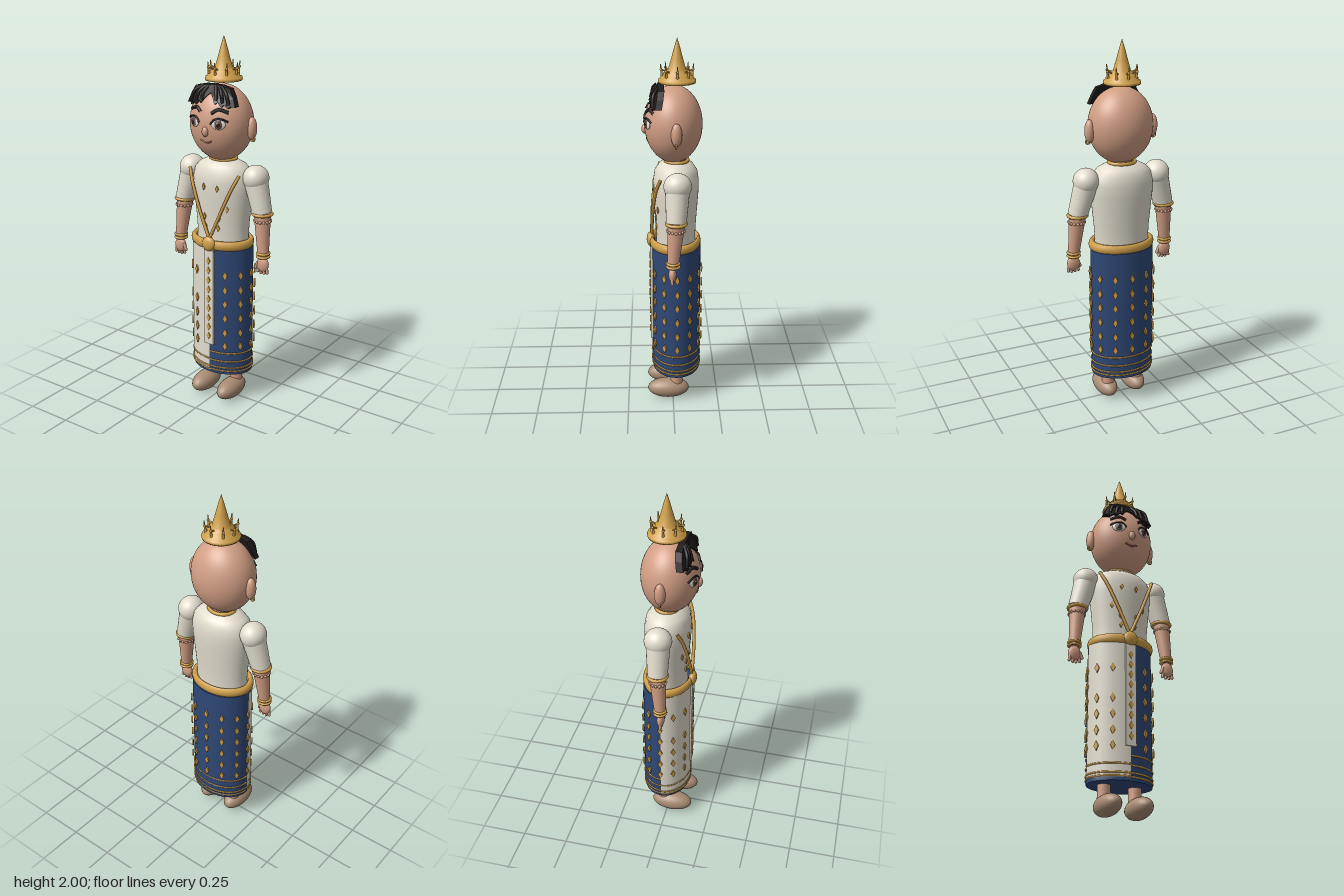
import * as THREE from 'three';

const mat = (name, color) => Object.assign(new THREE.MeshStandardMaterial({ color }), { name });
const V = (x, y, z) => new THREE.Vector3(x, y, z);

export function createModel() {
  const skin = mat('skin', 0xd19e84), ivory = mat('ivory cloth', 0xe2dccd), blue = mat('blue cloth', 0x2f4876);
  const gold = mat('gold', 0xd0a04a), hair = mat('black hair', 0x221c1c), shoe = mat('tan slipper', 0xa98c74);
  const white = mat('eye white', 0xeeeae4), brown = mat('iris brown', 0x6b4a3c), lip = mat('lip', 0xa05f50);
  const panel = mat('ivory panel', 0xe2dccd);
  panel.side = THREE.DoubleSide;

  const root = new THREE.Group();
  root.name = 'dancer';
  const group = (name, parent = root) => {
    const g = new THREE.Group();
    g.name = name;
    parent.add(g);
    return g;
  };
  const add = (parent, name, geo, m, x = 0, y = 0, z = 0) => {
    const mesh = new THREE.Mesh(geo, m);
    mesh.name = name;
    mesh.position.set(x, y, z);
    parent.add(mesh);
    return mesh;
  };
  const ball = (rx, ry, rz, n = 32) => new THREE.SphereGeometry(1, n, n * 0.6 | 0).scale(rx, ry, rz);
  const tube = (pts, r, n = 24) => new THREE.TubeGeometry(new THREE.CatmullRomCurve3(pts), n, r, 8);
  const diamond = (w, h) => new THREE.CylinderGeometry(1, 1, 0.008, 4).rotateX(Math.PI / 2).scale(w / 2, h / 2, 1);
  const ring = (r, t, flat = 1) => new THREE.TorusGeometry(r, t, 10, 40).rotateX(Math.PI / 2).scale(1, flat, 1);
  // Tapered limb running from a (radius ra) to b (radius rb)
  const limb = (parent, name, a, b, ra, rb, m) => {
    const d = b.clone().sub(a);
    const mesh = add(parent, name, new THREE.CylinderGeometry(rb, ra, d.length(), 24), m);
    mesh.position.copy(a).addScaledVector(d, 0.5);
    mesh.quaternion.setFromUnitVectors(V(0, 1, 0), d.normalize());
    return mesh;
  };

  // Head: an ellipsoid, with a rule for points on its front
  const HX = 0.174, HY = 0.2, HZ = 0.15, CY = 1.56, CZ = -0.004;
  const faceZ = (x, y) => CZ + HZ * Math.sqrt(Math.max(0, 1 - (x / HX) ** 2 - ((y - CY) / HY) ** 2));
  const onFace = (x, y, lift = 0) => V(x, y, faceZ(x, y) + lift);
  const head = group('head');
  add(head, 'skull', ball(HX, HY, HZ, 48), skin, 0, CY, CZ);
  add(head, 'nose', ball(0.018, 0.026, 0.018), skin, 0, 1.535, 0.143);
  add(head, 'mouth', tube([onFace(-0.035, 1.487), onFace(0, 1.476), onFace(0.035, 1.487)], 0.0045), lip);

  for (const s of [-1, 1]) {
    add(head, 'ear', ball(0.026, 0.06, 0.028), skin, s * 0.178, 1.545, -0.015);
    add(head, 'earring', new THREE.TorusGeometry(0.012, 0.005, 8, 20), gold, s * 0.185, 1.492, -0.012);

    // Eye, turned to follow the face
    const eye = group('eye', head);
    eye.position.copy(onFace(s * 0.073, 1.578));
    eye.rotation.y = s * 0.39;
    add(eye, 'eyeball', ball(0.036, 0.027, 0.009), white);
    add(eye, 'iris', ball(0.02, 0.023, 0.006), brown, 0, 0, 0.006);
    add(eye, 'pupil', ball(0.011, 0.013, 0.004), hair, 0, 0, 0.01);
    add(eye, 'glint', ball(0.005, 0.005, 0.002, 12), white, -0.006, 0.008, 0.0135);
    add(head, 'lash', tube([onFace(s * 0.034, 1.578, 0.005), onFace(s * 0.055, 1.602, 0.007),
      onFace(s * 0.085, 1.606, 0.007), onFace(s * 0.118, 1.592, 0.006)], 0.005), hair);
    add(head, 'eyebrow', tube([onFace(s * 0.032, 1.63, 0.002), onFace(s * 0.065, 1.65, 0.003),
      onFace(s * 0.112, 1.636, 0.002)], 0.0085), hair);

    // Swept fringe: jagged slab wrapped round the forehead
    const outline = [[0, 1.765], [0.05, 1.764], [0.105, 1.752], [0.128, 1.71], [0.146, 1.664], [0.122, 1.668], [0.112, 1.657],
      [0.09, 1.674], [0.078, 1.662], [0.055, 1.685], [0.043, 1.674], [0.022, 1.705], [0, 1.725]];
    const fringe = new THREE.ExtrudeGeometry(new THREE.Shape(outline.map(([x, y]) => new THREE.Vector2(s * x, y))),
      { depth: 1, bevelEnabled: false });
    const p = fringe.attributes.position;
    for (let i = 0; i < p.count; i++) {
      const x = p.getX(i), y = p.getY(i);
      const back = 0.045 + (1.765 - y) * 0.35 - Math.max(0, Math.abs(x) - 0.09) * 0.4;
      p.setZ(i, p.getZ(i) < 0.5 ? back : Math.max(back + 0.034, faceZ(x, y) + 0.012));
    }
    fringe.computeVertexNormals();
    add(head, 'fringe', fringe, hair);
    // Locks lying over the fringe
    for (const [x, y] of [[0.045, 1.69], [0.08, 1.68], [0.115, 1.675]]) {
      add(head, 'lock', tube([V(s * x * 0.5, 1.757, 0.077), V(s * x * 0.85, 1.727, 0.1),
        V(s * x, y, Math.max(faceZ(x, y), 0.095) + 0.009)], 0.009, 10), hair);
    }
  }

  // Crown: stepped base, spire and eight prongs
  const crown = group('crown');
  crown.position.z = -0.022;
  const profile = [[0, 1.775], [0.095, 1.775], [0.097, 1.783], [0.094, 1.792], [0.083, 1.797], [0.083, 1.807],
    [0.07, 1.811], [0.07, 1.822], [0.058, 1.826], [0.058, 1.836], [0.046, 1.84], [0.03, 1.895], [0.014, 1.955], [0, 2]];
  add(crown, 'spire', new THREE.LatheGeometry(profile.map(q => new THREE.Vector2(...q)), 40), gold);
  for (let i = 0; i < 8; i++) {
    const prong = group('prong', crown);
    prong.rotation.y = i * Math.PI / 4;
    limb(prong, 'spike', V(0, 1.805, 0.076), V(0, 1.868, 0.083), 0.007, 0.002, gold);
    limb(prong, 'strut', V(0, 1.828, 0.045), V(0, 1.84, 0.08), 0.004, 0.004, gold);
    add(prong, 'bead', ball(0.007, 0.007, 0.007, 12), gold, 0, 1.84, 0.081);
  }

  // Torso
  const torso = group('torso');
  const body = [[0.06, 1.37], [0.095, 1.36], [0.135, 1.34], [0.162, 1.31], [0.174, 1.26], [0.172, 1.2], [0.164, 1.12],
    [0.154, 1.02], [0.15, 0.95], [0.152, 0.9]].reverse();
  add(torso, 'bodice', new THREE.LatheGeometry(body.map(q => new THREE.Vector2(...q)), 48).scale(1, 1, 0.69), ivory, 0, 0, -0.017);
  limb(torso, 'neck', V(0, 1.33, -0.02), V(0, 1.4, -0.01), 0.055, 0.055, skin);
  add(torso, 'collar', ring(0.07, 0.01).scale(1, 1, 0.85), gold, 0, 1.368, -0.02);
  add(torso, 'belt', ring(0.164, 0.018, 1.45).scale(1, 1, 0.76), gold, 0, 0.92, -0.012);
  add(torso, 'buckle', ball(0.04, 0.04, 0.022), gold, 0, 0.925, 0.118);
  for (const s of [-1, 1]) {
    add(torso, 'sash', tube([V(s * 0.156, 1.31, 0.064), V(s * 0.125, 1.24, 0.088), V(s * 0.07, 1.11, 0.106), V(0, 0.95, 0.113)], 0.009), gold);
    for (const [x, y] of [[0.042, 1.23], [0.09, 1.12], [0.045, 1.065], [0.04, 1.01]]) {
      const r = 0.154 + (y - 1.02) * 0.09;
      add(torso, 'bodiceDiamond', diamond(0.02, 0.036), gold, s * x, y, -0.014 + 0.69 * Math.sqrt(r * r - x * x))
        .rotation.y = s * x * 4;
    }
  }

  // Skirt: elliptical blue tube, ivory front quarter, gold hem lines
  const SZ = 0.75, skirt = group('skirt');
  skirt.position.z = -0.02;
  add(skirt, 'blueSkirt', new THREE.CylinderGeometry(0.174, 0.174, 0.735, 64).scale(1, 1, SZ), blue, 0, 0.5325);
  add(skirt, 'ivoryFront', new THREE.CylinderGeometry(0.18, 0.18, 0.72, 24, 1, true, -Math.PI / 2, Math.PI / 2).scale(1, 1, SZ),
    panel, 0, 0.54);
  add(skirt, 'pleat', new THREE.BoxGeometry(0.058, 0.55, 0.016), ivory, 0, 0.615, 0.134);
  const hem = (y, r, start, arc) => add(skirt, 'hemLine',
    new THREE.TorusGeometry(r, 0.005, 6, 48, arc).rotateZ(start).rotateX(Math.PI / 2).scale(1, 1, SZ), gold, 0, y);
  for (const y of [0.293, 0.243, 0.205, 0.185]) hem(y, 0.175, Math.PI, Math.PI * 1.5);
  for (const y of [0.25, 0.205, 0.187]) hem(y, 0.18, Math.PI / 2, Math.PI / 2);
  for (let i = 1; i < 12; i++) {
    const a = i * Math.PI / 6, r = 0.183;
    for (const y of [0.755, 0.67, 0.59, 0.505, 0.42, 0.34]) {
      if (i > 9 && y === 0.67) continue;
      add(skirt, 'skirtDiamond', diamond(0.026, 0.052), gold, r * Math.sin(a), y, SZ * r * Math.cos(a))
        .rotation.y = Math.atan2(Math.sin(a) * SZ, Math.cos(a));
    }
  }
  for (let i = 0; i < 9; i++) add(skirt, 'pleatDiamond', diamond(0.026, 0.042), gold, 0, 0.39 + i * 0.055, 0.143);

  // Arms, legs and feet, mirrored
  for (const s of [-1, 1]) {
    const arm = group(s > 0 ? 'leftArm' : 'rightArm');
    const shoulder = V(s * 0.2, 1.285, -0.02), elbow = V(s * 0.25, 1.105, -0.012), wrist = V(s * 0.27, 0.875, 0.005);
    add(arm, 'puffShoulder', ball(0.068, 0.068, 0.072), ivory, s * 0.203, 1.287, -0.02);
    limb(arm, 'sleeve', shoulder, elbow, 0.064, 0.052, ivory);
    add(arm, 'sleeveCuff', ring(0.049, 0.009), gold).position.copy(elbow);
    limb(arm, 'forearm', elbow, wrist, 0.045, 0.029, skin);
    for (let i = 0; i < 14; i++) {
      const a = i * Math.PI / 7;
      add(arm, 'frillBead', ball(0.008, 0.008, 0.008, 10), skin, s * 0.254 + 0.042 * Math.cos(a), 1.068, -0.01 + 0.042 * Math.sin(a));
    }
    for (const y of [0.895, 0.877]) add(arm, 'bracelet', ring(0.031, 0.007), gold, s * 0.269, y, 0.004);
    add(arm, 'palm', ball(0.035, 0.043, 0.02), skin, s * 0.27, 0.833, 0.008);
    for (let i = 0; i < 4; i++) {
      const x = (i - 1.5) * 0.016;
      add(arm, 'finger', new THREE.CapsuleGeometry(0.008, 0.03, 4, 10), skin, s * 0.27 + x * 1.1, 0.798 + Math.abs(x) * 0.3, 0.01)
        .rotation.z = x * 6;
    }
    add(arm, 'thumb', new THREE.CapsuleGeometry(0.009, 0.03, 4, 10), skin, s * 0.236, 0.825, 0.014).rotation.z = -s * 0.4;

    const leg = group(s > 0 ? 'leftLeg' : 'rightLeg');
    limb(leg, 'ankle', V(s * 0.085, 0.07, -0.02), V(s * 0.085, 0.2, -0.02), 0.034, 0.034, skin);
    add(leg, 'slipper', ball(0.059, 0.055, 0.115), shoe, s * 0.085, 0.055, 0.026);
  }
  return root;
}
